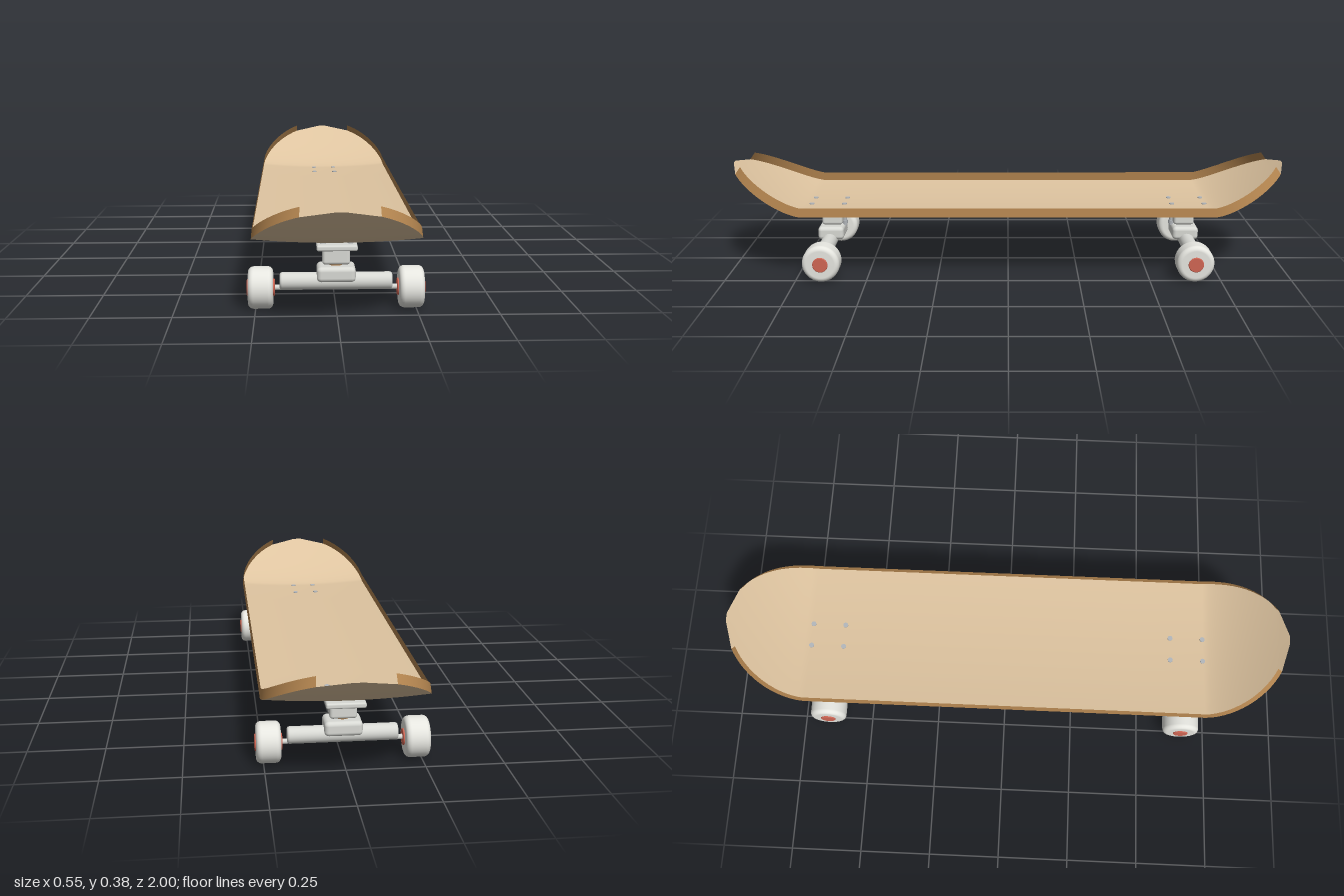
import * as THREE from 'three';
import { RoundedBoxGeometry } from 'three/addons/geometries/RoundedBoxGeometry.js';

const mat = (name, color, extra = {}) => {
  const m = new THREE.MeshStandardMaterial({ color, ...extra });
  m.name = name;
  return m;
};

// Deck surface: slight concave across, both ends kicked up
const HALF = 0.26, STRAIGHT = 0.72, KICK = 0.28, RIM = 0.032;
const deckY = (x, z) => {
  const t = Math.max(0, Math.abs(z) - STRAIGHT) / KICK;
  return 0.222 + 0.013 * (x / HALF) ** 2 + 0.15 * t ** 1.4;
};
const deckNormal = (x, z) => {
  const t = Math.max(0, Math.abs(z) - STRAIGHT) / KICK;
  const slopeZ = Math.sign(z) * (0.15 * 1.4 / KICK) * t ** 0.4;
  return new THREE.Vector3(-0.026 * x / HALF ** 2, 1, -slopeZ).normalize();
};

// Stations along the deck as [z, half width], blunt tip last
function deckStations() {
  const end = [];
  for (let i = 0; i <= 14; i++) {
    const a = (i / 14) * 1.114;
    end.push([STRAIGHT + KICK * Math.sin(a), HALF * Math.cos(a)]);
  }
  end.push([1, 0.015]);
  const middle = [-0.48, -0.24, 0, 0.24, 0.48].map(z => [z, HALF]);
  return [...end.map(([z, w]) => [-z, w]).reverse(), ...middle, ...end];
}

// Joins rows of points into a smooth surface
function loft(rows) {
  const n = rows[0].length, index = [];
  for (let r = 0; r < rows.length - 1; r++) {
    for (let c = 0; c < n - 1; c++) {
      const a = r * n + c, b = a + n;
      index.push(a, b, a + 1, a + 1, b, b + 1);
    }
  }
  const g = new THREE.BufferGeometry().setFromPoints(rows.flat());
  g.setIndex(index);
  g.computeVertexNormals();
  return g;
}

// Lathe profile of a rounded-edge roller lying along x
function roller(radius, length, fillet, segments = 40) {
  const h = length / 2, pts = [new THREE.Vector2(0, -h)];
  for (const s of [-1, 1]) {
    for (let i = 0; i <= 6; i++) {
      const a = (s < 0 ? i - 6 : i) / 6 * Math.PI / 2;
      pts.push(new THREE.Vector2(radius - fillet + fillet * Math.cos(a),
        s * (h - fillet) + fillet * Math.sin(a)));
    }
  }
  pts.push(new THREE.Vector2(0, h));
  return new THREE.LatheGeometry(pts, segments).rotateZ(-Math.PI / 2);
}

export function createModel() {
  const wood = mat('deck wood', 0xdec4a0, { side: THREE.DoubleSide });
  const edge = mat('deck edge wood', 0xb58650, { side: THREE.DoubleSide });
  const metal = mat('truck metal', 0xd8d9d4);
  const tyre = mat('wheel white', 0xe6e6e0);
  const red = mat('hub red', 0xd06654);
  const rubber = mat('bushing brown', 0xb0793f);
  const bolt = mat('bolt steel', 0xb4b8bc);

  const model = new THREE.Group();
  model.name = 'skateboard';
  const add = (parent, name, geometry, material, x = 0, y = 0, z = 0) => {
    const m = new THREE.Mesh(geometry, material);
    m.name = name;
    m.position.set(x, y, z);
    parent.add(m);
    return m;
  };

  // Deck sheet
  const stations = deckStations();
  const COLS = 16;
  add(model, 'deck', loft(stations.map(([z, w]) =>
    Array.from({ length: COLS + 1 }, (_, i) => {
      const x = w * (2 * i / COLS - 1);
      return new THREE.Vector3(x, deckY(x, z), z);
    }))), wood);

  // Raised rims, open at the nose and tail tips
  for (const s of [-1, 1]) {
    const rows = stations.slice(1, -1).map(([z, w]) => {
      const low = new THREE.Vector3(s * w, deckY(w, z), z);
      const high = low.clone().addScaledVector(deckNormal(s * w, z), RIM);
      return s > 0 ? [low, high] : [high, low];
    });
    add(model, s > 0 ? 'leftRim' : 'rightRim', loft(rows), edge);
  }

  // One truck with its wheels; local +z points to the board's end
  function truck(name) {
    const g = new THREE.Group();
    g.name = name;
    add(g, 'basePlate', new RoundedBoxGeometry(0.124, 0.018, 0.188, 3, 0.006), metal, 0, 0.211, 0.003);
    add(g, 'pivotBlock', new RoundedBoxGeometry(0.086, 0.06, 0.074, 3, 0.01), metal, 0, 0.172, -0.01);
    add(g, 'bushing', new THREE.CylinderGeometry(0.022, 0.022, 0.02, 24), rubber, 0, 0.138, -0.008);
    add(g, 'hangerBlock', new RoundedBoxGeometry(0.12, 0.048, 0.094, 4, 0.014), metal, 0, 0.113, -0.005);
    add(g, 'hanger', roller(0.0275, 0.35, 0.008), metal, 0, 0.086, 0);
    add(g, 'axle', roller(0.0085, 0.54, 0.002, 20), metal, 0, 0.066, 0);
    // Kingpin and nut on the inner side
    add(g, 'kingpin', new THREE.CylinderGeometry(0.007, 0.007, 0.07, 16), bolt, 0, 0.165, -0.051);
    add(g, 'kingpinNut', new THREE.CylinderGeometry(0.011, 0.011, 0.012, 6), bolt, 0, 0.144, -0.051);
    for (const s of [-1, 1]) {
      add(g, 'wheel', roller(0.066, 0.078, 0.017), tyre, s * 0.234, 0.066, 0);
      add(g, 'wheelHub', roller(0.027, 0.087, 0.003, 28), red, s * 0.2335, 0.066, 0);
      for (const z of [-0.058, 0.06]) {
        add(g, 'deckBolt', new THREE.CylinderGeometry(0.009, 0.009, 0.022, 18), bolt, s * 0.042, 0.215, z);
      }
    }
    return g;
  }
  const front = truck('frontTruck');
  front.position.z = 0.657;
  const back = truck('backTruck');
  back.rotation.y = Math.PI;
  back.position.z = -0.657;
  model.add(front, back);
  return model;
}
